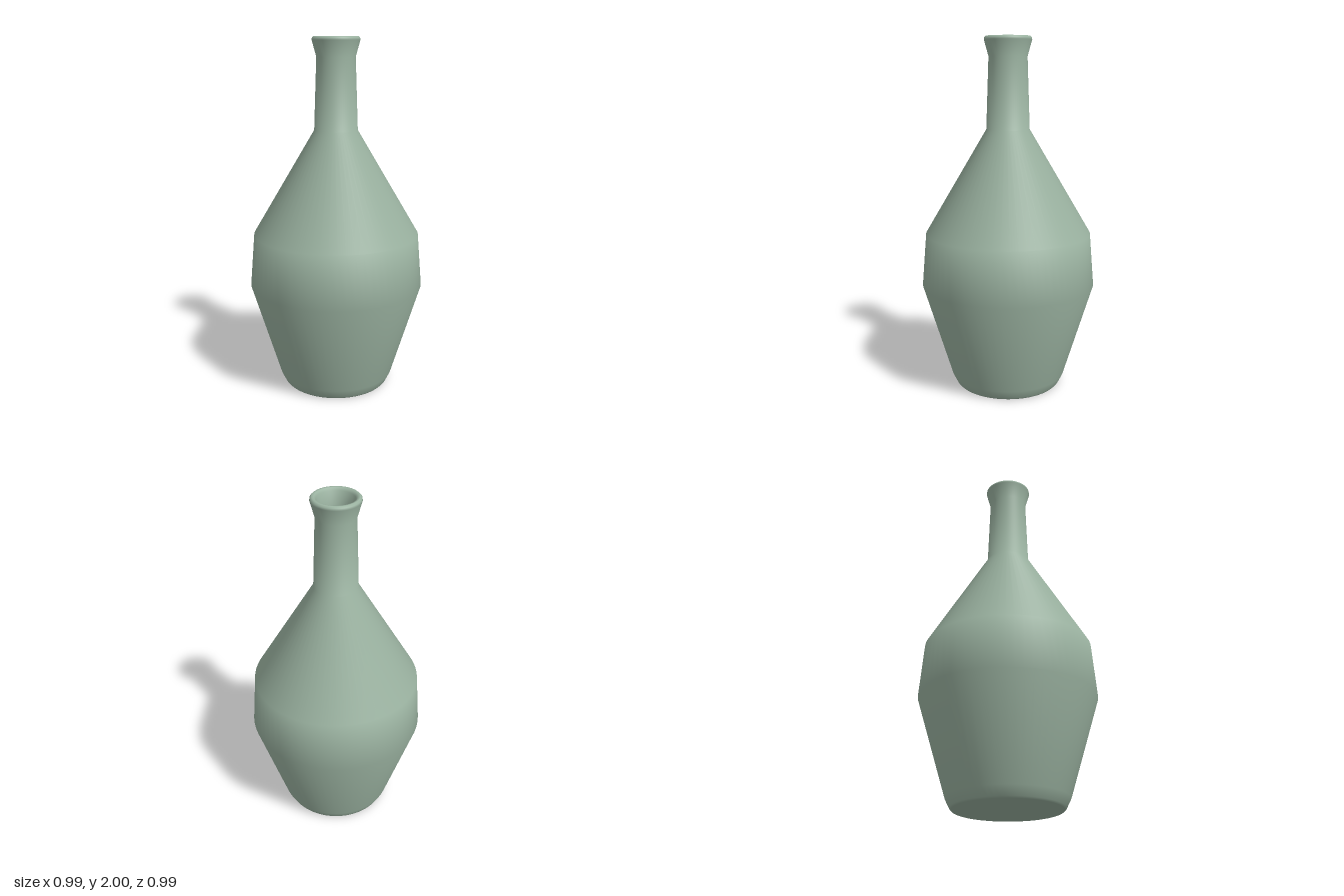
import * as THREE from 'three';

export function createModel() {
  const group = new THREE.Group();
  group.name = 'vase';
  const glaze = new THREE.MeshStandardMaterial({ color: 0x9cb4a2 });
  glaze.name = 'sage green glaze';

  // Lathe a profile of [radius, height] points around the y axis
  const turn = (name, profile) => {
    const points = profile.map(([r, y]) => new THREE.Vector2(r, y));
    const mesh = new THREE.Mesh(new THREE.LatheGeometry(points, 64), glaze);
    mesh.name = name;
    group.add(mesh);
  };

  // One continuous wall: base, belly, shoulder, neck, flared lip, then the hollow inside
  turn('vaseBody', [
    [0, 0], [0.295, 0], [0.305, 0.01], [0.33, 0.06],
    [0.495, 0.6], [0.47, 0.9], [0.122, 1.49], [0.108, 1.89],
    [0.133, 1.98], [0.131, 1.992], [0.122, 2], [0.11, 1.998], [0.1, 1.985],
    [0.068, 1.89], [0.082, 1.49], [0.43, 0.89], [0.455, 0.6], [0.295, 0.07],
  ]);

  // Flat floor inside the hollow
  turn('innerFloor', [[0.295, 0.07], [0, 0.07]]);

  return group;
}
